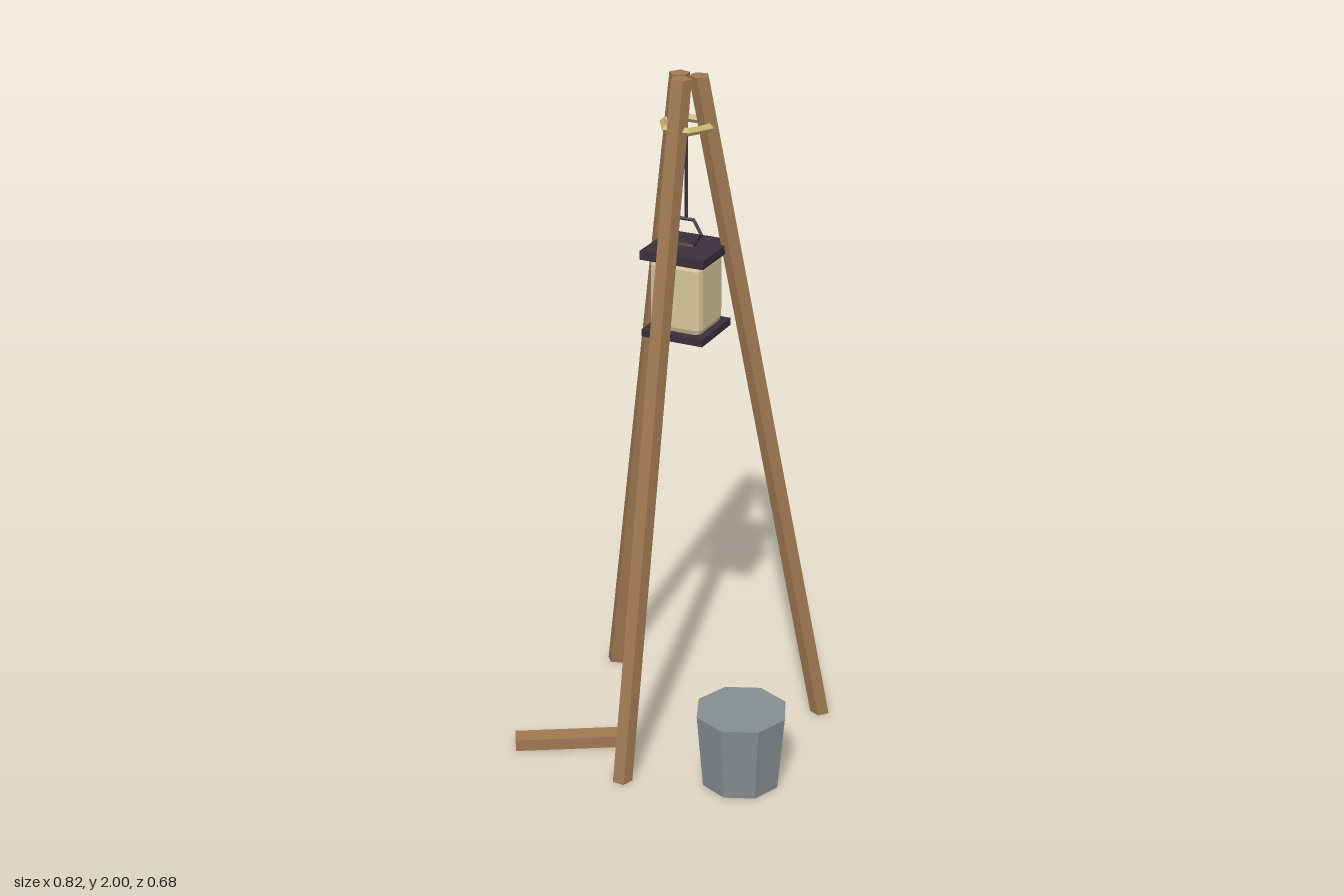
import * as THREE from 'three';
import { RoundedBoxGeometry } from 'three/addons/geometries/RoundedBoxGeometry.js';

function material(name, color) {
  const m = new THREE.MeshStandardMaterial({ color, flatShading: true });
  m.name = name;
  return m;
}

export function createModel() {
  const wood = material('wood', 0x9e7850);
  const metal = material('greyMetal', 0x868d8f);
  const paper = material('creamPaper', 0xd4c49a);
  const rope = material('strawRope', 0xc4b46e);
  const dark = material('darkIron', 0x3a2e3a);

  const model = new THREE.Group();
  model.name = 'lanternTripod';

  function add(parent, name, geometry, mat, x = 0, y = 0, z = 0) {
    const mesh = new THREE.Mesh(geometry, mat);
    mesh.name = name;
    mesh.position.set(x, y, z);
    parent.add(mesh);
    return mesh;
  }

  // Five-sided pole with level ends, sheared from foot to top, one edge facing inward
  function poleGeometry(foot, top) {
    const dx = top[0] - foot[0], dz = top[1] - foot[1];
    const g = new THREE.CylinderGeometry(0.03, 0.03, 2, 5).toNonIndexed();
    g.rotateY(Math.atan2(dx, dz));
    g.translate(0, 1, 0);
    const p = g.attributes.position;
    for (let i = 0; i < p.count; i++) {
      const t = p.getY(i) / 2;
      p.setX(i, p.getX(i) + foot[0] + dx * t);
      p.setZ(i, p.getZ(i) + foot[1] + dz * t);
    }
    g.computeVertexNormals();
    return g;
  }

  // Tripod: foot and top as [x, z]
  const tripod = new THREE.Group();
  tripod.name = 'tripod';
  model.add(tripod);
  add(tripod, 'frontLeg', poleGeometry([-0.031, 0.312], [-0.023, -0.062]), wood);
  add(tripod, 'backLeftLeg', poleGeometry([0.335, -0.298], [0.008, -0.114]), wood);
  add(tripod, 'backRightLeg', poleGeometry([-0.368, -0.315], [-0.052, -0.114]), wood);

  // Six-sided binding around the poles
  const cx = -0.022, cz = -0.096;
  const ring = new THREE.TorusGeometry(0.07, 0.012, 4, 6);
  ring.rotateX(Math.PI / 2);
  add(tripod, 'ropeBinding', ring, rope, cx, 1.862, cz);

  // Hanging lantern
  const lantern = new THREE.Group();
  lantern.name = 'lantern';
  lantern.position.set(cx, 0, cz);
  model.add(lantern);
  add(lantern, 'hangingCord', new THREE.CylinderGeometry(0.005, 0.005, 0.27, 5), dark, 0, 1.73, 0);
  add(lantern, 'handle', new THREE.TorusGeometry(0.045, 0.006, 4, 6), dark, 0, 1.552, 0);
  add(lantern, 'lanternTop', new THREE.BoxGeometry(0.195, 0.026, 0.195), dark, 0, 1.5, 0);
  add(lantern, 'lanternBody', new RoundedBoxGeometry(0.16, 0.214, 0.16, 1, 0.02), paper, 0, 1.382, 0);
  add(lantern, 'lanternBase', new THREE.BoxGeometry(0.188, 0.022, 0.188), dark, 0, 1.268, 0);

  // Eight-sided bucket
  add(model, 'bucket', new THREE.CylinderGeometry(0.136, 0.116, 0.23, 8), metal, 0.275, 0.115, 0.155);

  // Loose plank on the ground
  const plank = add(model, 'plank', new THREE.BoxGeometry(0.342, 0.036, 0.056), wood, -0.251, 0.018, 0.2);
  plank.rotation.y = Math.PI / 6;

  return model;
}
